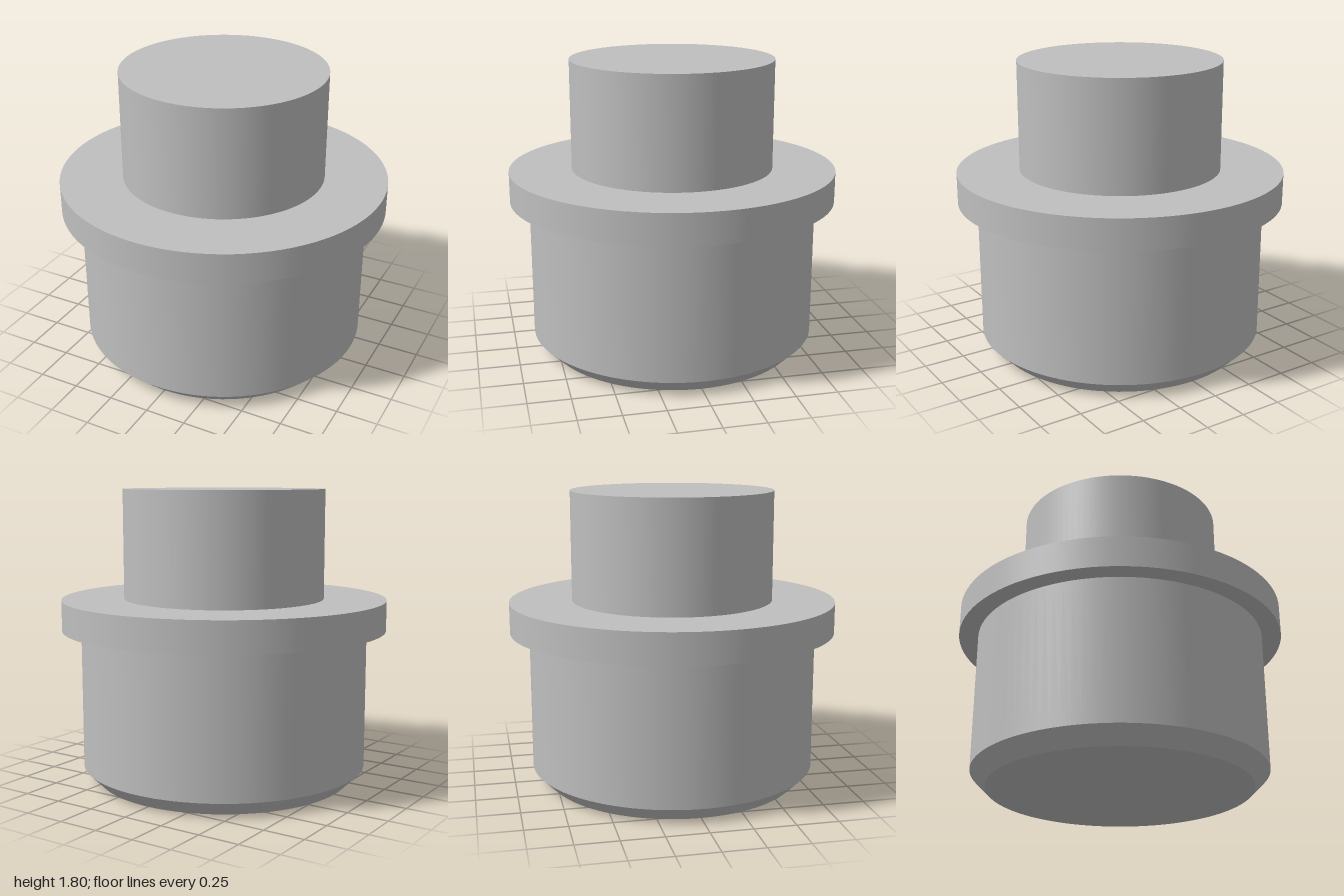
import * as THREE from 'three';

const SEGMENTS = 96;

export function createModel() {
  const model = new THREE.Group();
  const grey = new THREE.MeshStandardMaterial({ color: 0xbfbfbf });
  grey.name = 'plain grey';

  // One revolved surface between two [radius, height] points; separate surfaces keep the rims sharp
  function addSurface(name, from, to) {
    const points = [new THREE.Vector2(...from), new THREE.Vector2(...to)];
    const mesh = new THREE.Mesh(new THREE.LatheGeometry(points, SEGMENTS), grey);
    mesh.name = name;
    model.add(mesh);
  }

  // Outline of the plug, from the centre of the base to the centre of the top
  const start = [0, 0];
  const outline = [
    ['baseFace', 0.79, 0],
    ['baseChamfer', 0.883, 0.093],
    ['bodyWall', 0.883, 0.945],
    ['flangeUnderside', 1, 0.945],
    ['flangeRim', 1, 1.132],
    ['flangeTop', 0.618, 1.132],
    ['neckWall', 0.618, 1.8],
    ['neckTop', 0, 1.8],
  ];

  let previous = start;
  for (const [name, radius, height] of outline) {
    addSurface(name, previous, [radius, height]);
    previous = [radius, height];
  }
  return model;
}
